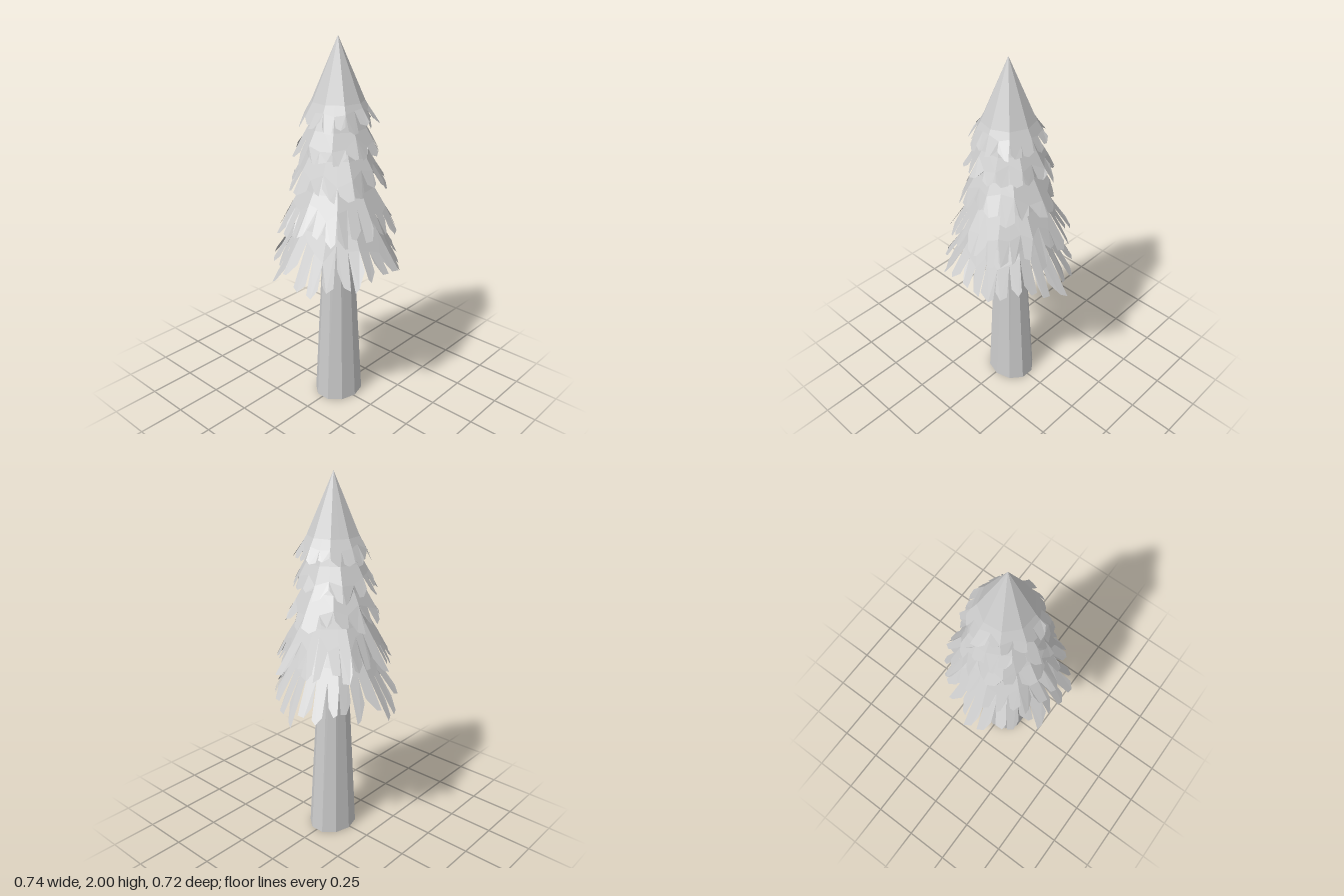
import * as THREE from 'three';

const SIDES = 9;

// Small seeded random generator
function seeded(seed) {
  let s = seed;
  return () => {
    s = (s * 16807) % 2147483647;
    return s / 2147483647;
  };
}

// Each tier: [radius, height] at the top, at the bend, and at the branch tips
const TIERS = [
  { profile: [[0, 2.0], [0.135, 1.69], [0.21, 1.56]], teeth: 2, notch: 1.3, turn: 0.1 },
  { profile: [[0.07, 1.74], [0.15, 1.56], [0.24, 1.4]], teeth: 2, notch: 1.3, turn: 0.42 },
  { profile: [[0.08, 1.6], [0.165, 1.42], [0.275, 1.23]], teeth: 2, notch: 1.35, turn: 0.2 },
  { profile: [[0.08, 1.46], [0.19, 1.25], [0.335, 1.01]], teeth: 3, notch: 1.25, turn: 0.55 },
  { profile: [[0.08, 1.3], [0.215, 1.05], [0.39, 0.77]], teeth: 3, notch: 1.2, turn: 0.3 },
];

// Faceted skirt whose lower edge is cut into ragged teeth
function tierGeometry({ profile, teeth, notch, turn }, rand) {
  const positions = [];
  const tri = (...pts) => pts.forEach((p) => positions.push(p.x, p.y, p.z));
  const between = (min, max) => min + (max - min) * rand();

  // Point on the skirt: u counts facets around, v runs 0 top, 1 bend, 2 tips
  const point = (facet, u, v, lift = 0) => {
    const [a, b] = v < 1 ? [profile[0], profile[1]] : [profile[1], profile[2]];
    const t = v < 1 ? v : v - 1;
    const r = THREE.MathUtils.lerp(a[0], b[0], t) + lift;
    const y = THREE.MathUtils.lerp(a[1], b[1], t);
    const corner = (k) => {
      const angle = turn + (k / SIDES) * Math.PI * 2;
      return new THREE.Vector3(r * Math.sin(angle), y, r * Math.cos(angle));
    };
    return corner(facet).lerp(corner(facet + 1), u);
  };

  const count = SIDES * teeth;
  const notches = Array.from({ length: count }, () => notch + between(-0.15, 0.25));

  for (let i = 0; i < count; i++) {
    const facet = Math.floor(i / teeth);
    const w = 1 / teeth;
    const u0 = (i % teeth) * w;
    const u1 = u0 + w;
    const at = (u, v, lift) => point(facet, u, v, lift);

    // Upper slope down to the bend
    const topL = at(u0, 0), topR = at(u1, 0);
    const bendL = at(u0, 1), bendR = at(u1, 1);
    tri(topL, bendL, bendR);
    if (profile[0][0] > 0) tri(topL, bendR, topR);

    // Band below the bend, then one ragged tooth
    const notchL = at(u0, notches[i]);
    const notchR = at(u1, notches[(i + 1) % count]);
    const length = between(1.72, 2);
    const lift = between(-0.012, 0.012);
    const slant = between(-0.18, 0.18);
    const cornerL = at(u0 + w * between(0.0, 0.2), length - 0.1 + slant, lift);
    const cornerR = at(u1 - w * between(0.0, 0.2), length - 0.1 - slant, lift);
    const tip = at(u0 + w * between(0.35, 0.65), length, lift);
    tri(bendL, notchL, notchR);
    tri(bendL, notchR, bendR);
    tri(tip, notchL, cornerL);
    tri(tip, notchR, notchL);
    tri(tip, cornerR, notchR);
  }

  const geometry = new THREE.BufferGeometry();
  geometry.setAttribute('position', new THREE.Float32BufferAttribute(positions, 3));
  geometry.computeVertexNormals();
  return geometry;
}

export function createModel() {
  const tree = new THREE.Group();
  tree.name = 'pineTree';

  // Tapered trunk, slightly wider across x at the foot
  const trunkGeometry = new THREE.CylinderGeometry(0.05, 0.125, 1.55, 10);
  trunkGeometry.translate(0, 0.775, 0);
  const p = trunkGeometry.attributes.position;
  for (let i = 0; i < p.count; i++) {
    const foot = 1 - p.getY(i) / 1.55;
    p.setX(i, p.getX(i) * (1 + 0.14 * foot) + 0.01 * foot);
  }
  const trunk = new THREE.Mesh(
    trunkGeometry,
    new THREE.MeshStandardMaterial({ color: 0xcccccc, flatShading: true }),
  );
  trunk.name = 'trunk';
  tree.add(trunk);

  // Stacked branch tiers, top to bottom
  const foliage = new THREE.Group();
  foliage.name = 'foliage';
  const needles = new THREE.MeshStandardMaterial({
    color: 0xcccccc,
    flatShading: true,
    side: THREE.DoubleSide,
  });
  const rand = seeded(4177);
  TIERS.forEach((tier, i) => {
    const mesh = new THREE.Mesh(tierGeometry(tier, rand), needles);
    mesh.name = `branchTier${i + 1}`;
    foliage.add(mesh);
  });
  tree.add(foliage);

  return tree;
}
